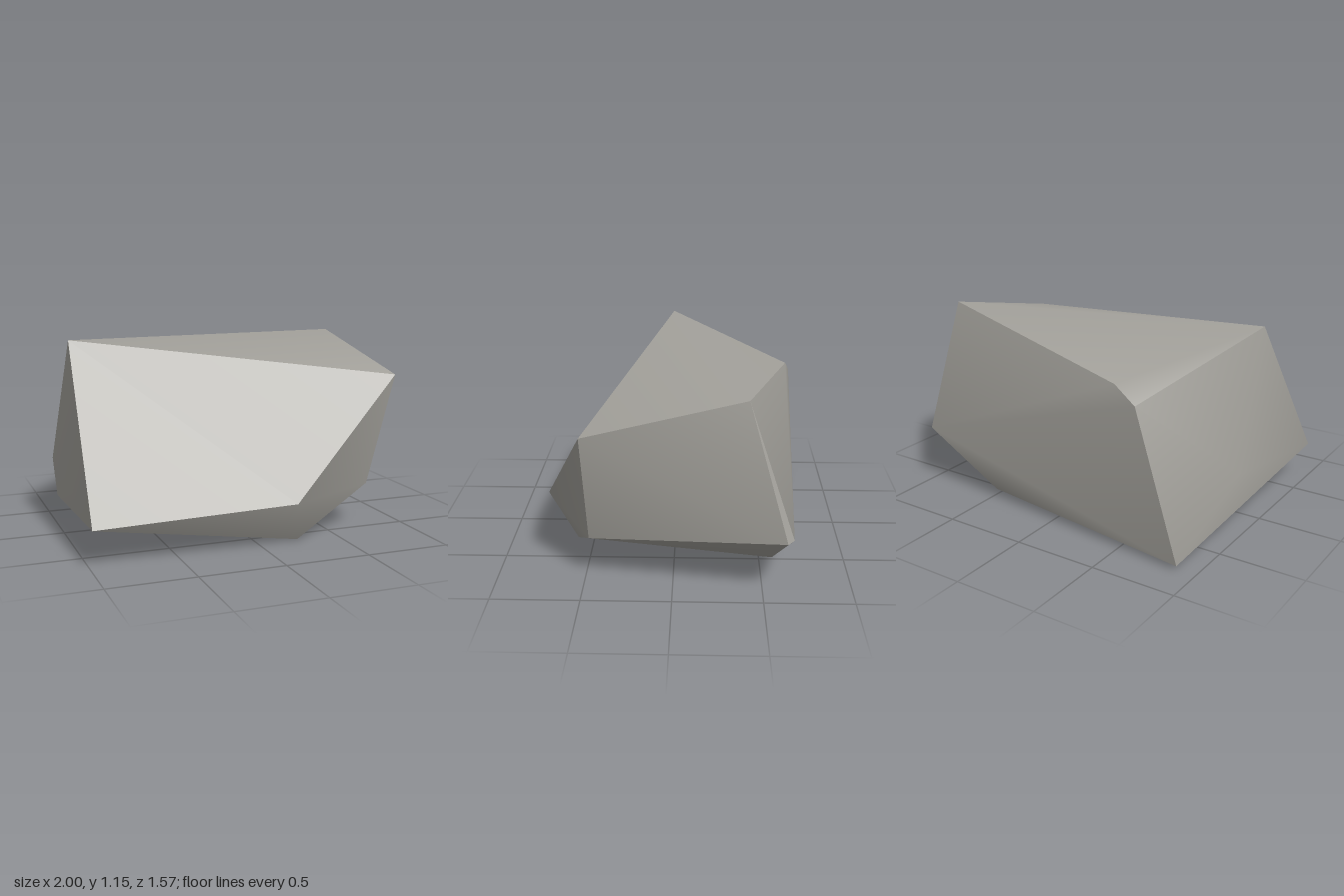
import * as THREE from 'three';

// Corner points of the boulder
const P = {
  topLeft: [-0.95, 1.155, 0.04], topRight: [0.94, 0.925, 0.485], topBack: [0.915, 1.13, -0.40],
  ridge: [-0.44, 0.935, -0.695], shoulder: [-0.59, 0.85, -0.73],
  nose: [0.165, 0.27, 0.785], frontLow: [-0.99, 0.222, 0.725],
  baseFront: [0.25, 0.003, 0.60], sideLow: [0.77, 0.265, 0.47],
  sideBack: [0.995, 0.355, -0.62], chip: [0.965, 0.365, -0.655],
  baseBack: [0.52, 0.025, -0.575], heel: [-0.89, 0.03, -0.785],
  bulge: [-1.0, 0.4, -0.30],
};

// Each facet is a patch of polygons, smooth inside and sharp at its border
const FACETS = {
  frontFace: [['topLeft', 'frontLow', 'nose', 'topRight']],
  topFace: [['topLeft', 'topRight', 'topBack'], ['topLeft', 'topBack', 'ridge', 'shoulder']],
  undercut: [['frontLow', 'baseFront', 'nose'], ['nose', 'baseFront', 'sideLow', 'topRight']],
  rightFace: [['topRight', 'sideLow', 'sideBack', 'topBack']],
  chippedEdge: [['topBack', 'sideBack', 'chip']],
  backFace: [['chip', 'topBack', 'ridge', 'shoulder'], ['chip', 'shoulder', 'heel'],
    ['chip', 'heel', 'baseBack'], ['chip', 'baseBack', 'sideBack']],
  leftFace: [['bulge', 'topLeft', 'shoulder'], ['bulge', 'shoulder', 'heel'],
    ['bulge', 'heel', 'frontLow'], ['bulge', 'frontLow', 'topLeft']],
  underside: [['sideLow', 'baseFront', 'baseBack', 'sideBack'],
    ['baseFront', 'frontLow', 'heel', 'baseBack']],
};

const centre = new THREE.Vector3(0, 0.55, 0);

// Fans the polygons into triangles that all face away from the centre
function facetGeometry(polygons) {
  const names = [...new Set(polygons.flat())];
  const points = names.map((n) => new THREE.Vector3(...P[n]));
  const index = [];
  for (const poly of polygons) {
    const ids = poly.map((n) => names.indexOf(n));
    for (let i = 1; i < ids.length - 1; i++) {
      const [a, b, c] = [ids[0], ids[i], ids[i + 1]];
      const tri = new THREE.Triangle(points[a], points[b], points[c]);
      const normal = tri.getNormal(new THREE.Vector3());
      const outward = normal.dot(points[a].clone().sub(centre)) > 0;
      index.push(a, ...(outward ? [b, c] : [c, b]));
    }
  }
  const geometry = new THREE.BufferGeometry().setFromPoints(points);
  geometry.setIndex(index);
  geometry.computeVertexNormals();
  return geometry;
}

export function createModel() {
  const stone = new THREE.MeshStandardMaterial({ color: 0xa3a19b });
  stone.name = 'stone grey';

  const boulder = new THREE.Group();
  boulder.name = 'boulder';
  for (const [name, polygons] of Object.entries(FACETS)) {
    const mesh = new THREE.Mesh(facetGeometry(polygons), stone);
    mesh.name = name;
    boulder.add(mesh);
  }
  return boulder;
}
